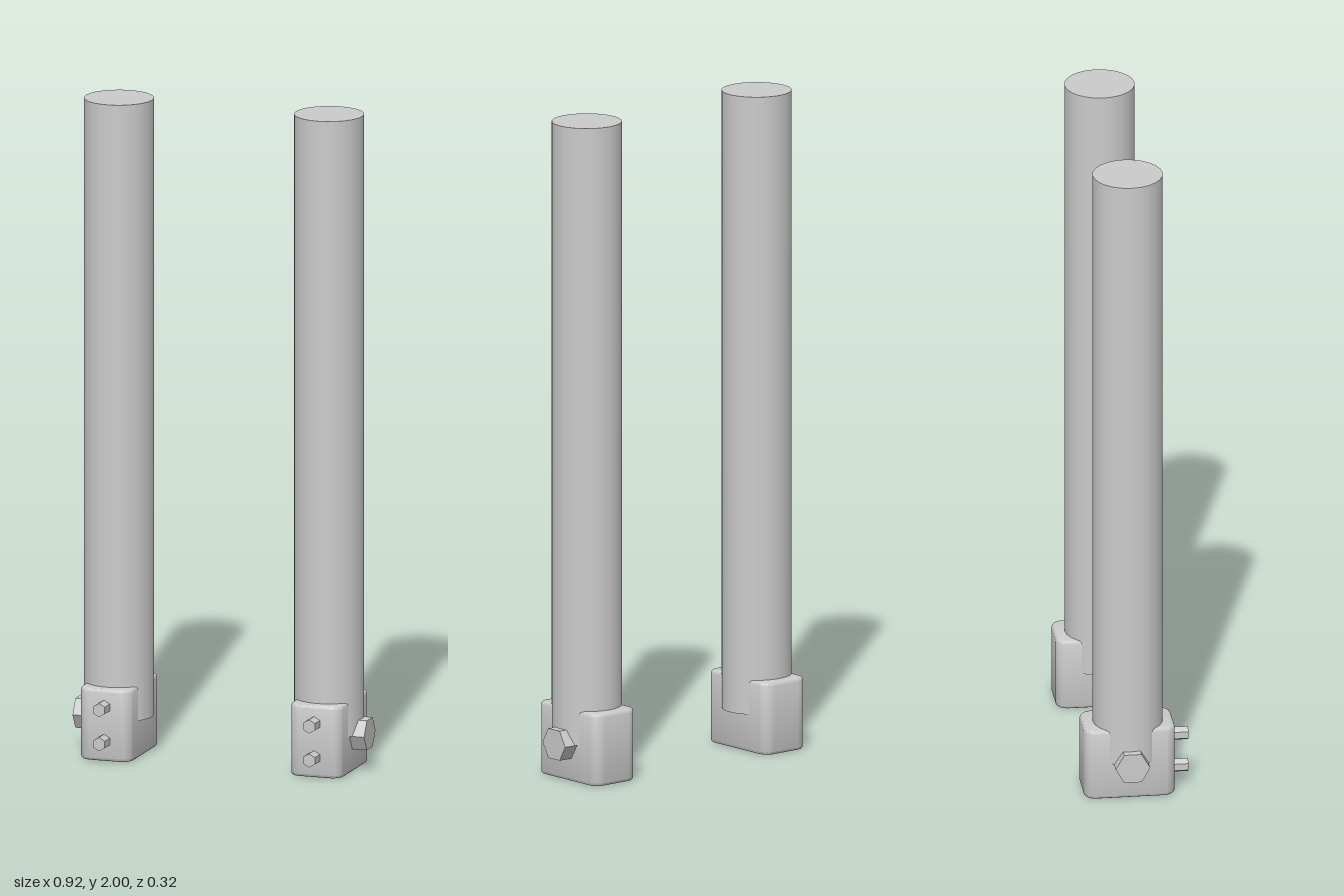
import * as THREE from 'three';
import { toCreasedNormals } from 'three/addons/utils/BufferGeometryUtils.js';

const CX = 0.3315, CZ = -0.022;
const material = new THREE.MeshStandardMaterial({ color: 0xcccccc });
const flatMaterial = new THREE.MeshStandardMaterial({ color: 0xcccccc, flatShading: true });

function part(name, geometry, mat, x, y, z) {
  const mesh = new THREE.Mesh(geometry, mat);
  mesh.name = name;
  mesh.position.set(x, y, z);
  return mesh;
}

// Block with rounded upright corners and a small bevel on top and bottom
function shoeGeometry(w, h, d, r, bevel) {
  const a = w / 2, b = d / 2;
  const shape = new THREE.Shape();
  shape.absarc(a - r, b - r, r, 0, Math.PI / 2);
  shape.absarc(-a + r, b - r, r, Math.PI / 2, Math.PI);
  shape.absarc(-a + r, -b + r, r, Math.PI, Math.PI * 1.5);
  shape.absarc(a - r, -b + r, r, Math.PI * 1.5, Math.PI * 2);
  shape.closePath();
  const geometry = new THREE.ExtrudeGeometry(shape, {
    depth: h - 2 * bevel, bevelThickness: bevel, bevelSize: bevel,
    bevelOffset: -bevel, bevelSegments: 3, curveSegments: 6,
  });
  geometry.rotateX(-Math.PI / 2).translate(0, bevel, 0);
  return toCreasedNormals(geometry, 0.6);
}

function createPost(side) {
  const post = new THREE.Group();
  post.name = side > 0 ? 'leftPost' : 'rightPost';
  const x = side * CX;

  // Long round tube, seated in the shoe
  post.add(part('tube', new THREE.CylinderGeometry(0.105, 0.105, 1.885, 24), material, x, 1.0575, CZ));
  post.add(part('shoe', shoeGeometry(0.165, 0.22, 0.273, 0.036, 0.009), material, x, 0, -0.0235));

  // Large hexagonal bolt head on the outer side
  const bolt = new THREE.CylinderGeometry(0.052, 0.052, 0.09, 6).rotateZ(Math.PI / 2);
  post.add(part('sideBolt', bolt, flatMaterial, side * 0.415, 0.115, CZ));

  // Two small hexagonal pins on the front
  for (const y of [0.062, 0.166]) {
    const pin = new THREE.CylinderGeometry(0.021, 0.021, 0.068, 6).rotateX(Math.PI / 2);
    post.add(part('frontPin', pin, flatMaterial, x, y, 0.125));
  }
  return post;
}

export function createModel() {
  const model = new THREE.Group();
  model.name = 'postPair';
  for (const side of [1, -1]) model.add(createPost(side));
  return model;
}
